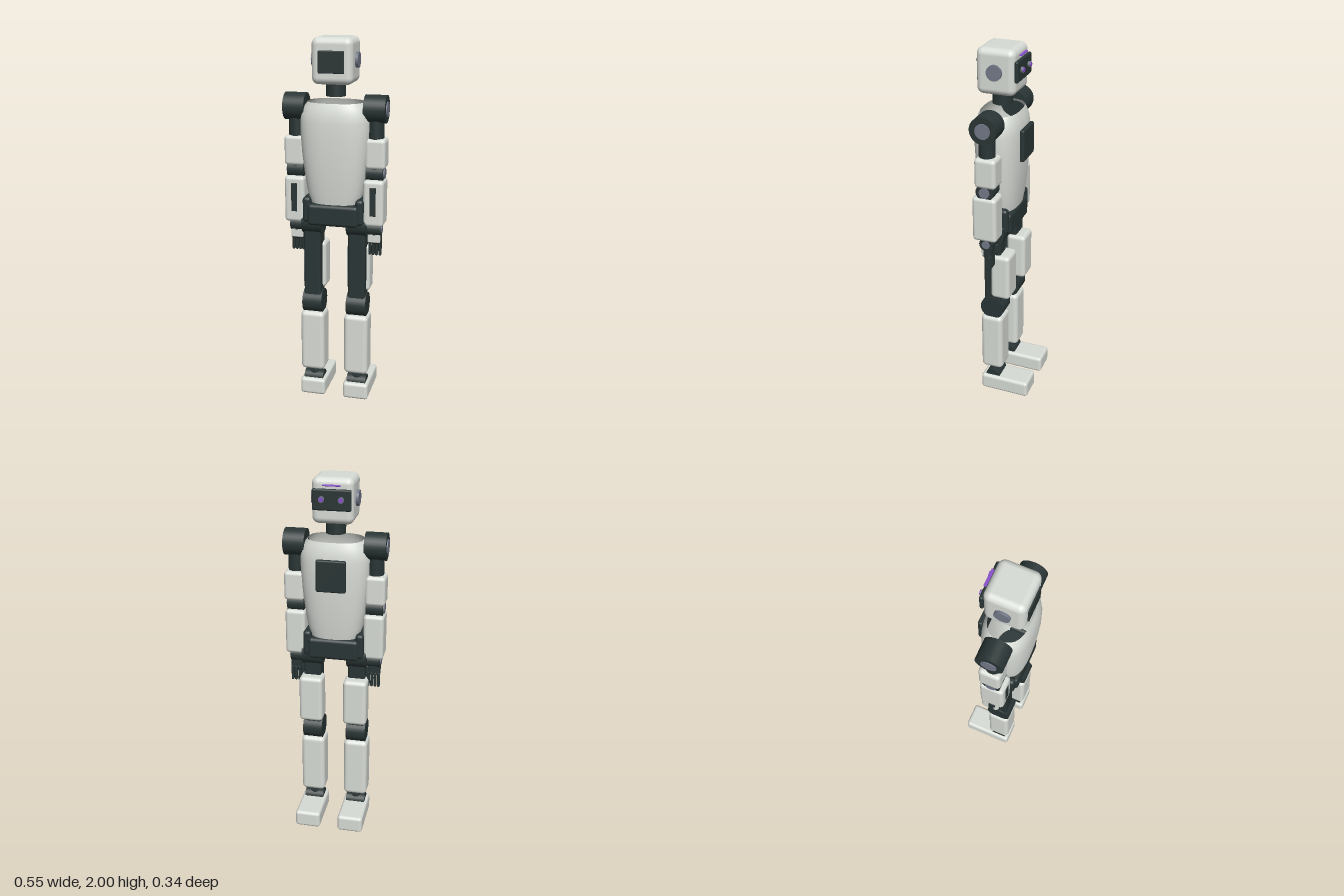
import * as THREE from 'three';
import { RoundedBoxGeometry } from 'three/addons/geometries/RoundedBoxGeometry.js';

const mat = (name, color, side = THREE.FrontSide) => {
  const m = new THREE.MeshStandardMaterial({ color, side });
  m.name = name;
  return m;
};

// Superellipse tube through rings of [y, half width, half depth], open at the top
function shellGeometry(rings, power, segments) {
  const pos = [], index = [];
  const sp = (v) => Math.sign(v) * Math.abs(v) ** (2 / power);
  for (const [y, rx, rz] of rings) {
    for (let i = 0; i < segments; i++) {
      const a = (i / segments) * Math.PI * 2;
      pos.push(rx * sp(Math.sin(a)), y, rz * sp(Math.cos(a)));
    }
  }
  for (let r = 0; r < rings.length - 1; r++) {
    for (let i = 0; i < segments; i++) {
      const j = (i + 1) % segments;
      const a = r * segments + i, b = r * segments + j, c = a + segments, d = b + segments;
      index.push(a, b, d, a, d, c);
    }
  }
  const g = new THREE.BufferGeometry();
  g.setAttribute('position', new THREE.Float32BufferAttribute(pos, 3));
  g.setIndex(index);
  g.computeVertexNormals();
  return g;
}

export function createModel() {
  const model = new THREE.Group();
  model.name = 'humanoidRobot';
  const white = mat('shellWhite', 0xd8dcd6, THREE.DoubleSide);
  const dark = mat('jointDark', 0x2a3535);
  const gray = mat('discGray', 0x737988);
  const purple = mat('sensorPurple', 0x8a4fd0);
  const Z = 0.045; // body centre line

  const add = (parent, name, geometry, material, x, y, z) => {
    const m = new THREE.Mesh(geometry, material);
    m.name = name;
    m.position.set(x, y, z);
    parent.add(m);
    return m;
  };
  // Rounded box given by size and centre
  const box = (p, name, material, [w, h, d], [x, y, z], r = 0.02) =>
    add(p, name, new RoundedBoxGeometry(w, h, d, 4, Math.min(r, w / 2.01, h / 2.01, d / 2.01)), material, x, y, z);
  // Cylinder along x, y or z
  const rod = (p, name, material, axis, radius, length, [x, y, z]) => {
    const g = new THREE.CylinderGeometry(radius, radius, length, 32);
    if (axis === 'x') g.rotateZ(-Math.PI / 2);
    if (axis === 'z') g.rotateX(Math.PI / 2);
    return add(p, name, g, material, x, y, z);
  };

  // Head with face towards -z and a screen on the opposite side
  const head = new THREE.Group();
  head.name = 'head';
  model.add(head);
  box(head, 'skull', white, [0.215, 0.235, 0.205], [0, 1.8825, Z], 0.035);
  box(head, 'headScreen', dark, [0.135, 0.112, 0.012], [0, 1.88, 0.149], 0.004);
  box(head, 'visor', dark, [0.2, 0.108, 0.02], [0, 1.893, -0.064], 0.009);
  box(head, 'sensorStrip', purple, [0.09, 0.007, 0.014], [0, 1.965, -0.067], 0.002);
  for (const s of [-1, 1]) {
    rod(head, 'earDisc', gray, 'x', 0.04, 0.03, [s * 0.107, 1.885, Z]);
    rod(head, 'eyeRing', gray, 'z', 0.015, 0.014, [s * 0.05, 1.897, -0.078]);
    rod(head, 'eye', purple, 'z', 0.011, 0.006, [s * 0.05, 1.897, -0.087]);
  }
  rod(model, 'neck', dark, 'y', 0.052, 0.08, [0, 1.74, Z]);

  // Torso shell, open at the neck, dark floor inside
  const torso = new THREE.Group();
  torso.name = 'torso';
  model.add(torso);
  const rings = [
    [1.14, 0.132, 0.096], [1.2, 0.15, 0.105], [1.3, 0.165, 0.115], [1.4, 0.177, 0.122],
    [1.5, 0.184, 0.125], [1.57, 0.185, 0.124], [1.61, 0.181, 0.12], [1.645, 0.166, 0.111], [1.672, 0.146, 0.1],
  ];
  add(torso, 'torsoShell', shellGeometry(rings, 2.6, 64), white, 0, 0, Z);
  const floor = shellGeometry([[1.15, 0.133, 0.096], [1.15, 0.001, 0.001]], 2.6, 64);
  add(torso, 'torsoFloor', floor, dark, 0, 0, Z);
  box(torso, 'chestScreen', dark, [0.156, 0.17, 0.025], [0, 1.505, -0.088], 0.008);

  // Pelvis
  const pelvis = new THREE.Group();
  pelvis.name = 'pelvis';
  model.add(pelvis);
  box(pelvis, 'pelvisBlock', dark, [0.275, 0.118, 0.19], [0, 1.077, Z], 0.02);
  for (const s of [-1, 1]) box(pelvis, 'pelvisSide', dark, [0.045, 0.14, 0.17], [s * 0.143, 1.1, Z], 0.018);

  for (const s of [-1, 1]) {
    const side = s > 0 ? 'left' : 'right';

    // Arm
    const arm = new THREE.Group();
    arm.name = side + 'Arm';
    model.add(arm);
    const ax = s * 0.213;
    rod(arm, 'shoulder', dark, 'x', 0.072, 0.113, [ax, 1.64, Z]);
    rod(arm, 'shoulderDisc', gray, 'x', 0.04, 0.01, [s * 0.27, 1.64, Z]);
    rod(arm, 'upperArmCore', dark, 'y', 0.042, 0.3, [ax, 1.45, Z]);
    box(arm, 'upperArmShell', white, [0.108, 0.16, 0.115], [ax + s * 0.004, 1.41, 0.04], 0.02);
    rod(arm, 'elbow', dark, 'x', 0.048, 0.09, [ax, 1.305, Z]);
    rod(arm, 'elbowDisc', gray, 'x', 0.028, 0.01, [s * 0.26, 1.305, Z]);
    box(arm, 'forearmShell', white, [0.11, 0.25, 0.132], [ax, 1.15, 0.048], 0.02);
    box(arm, 'forearmSlot', dark, [0.032, 0.155, 0.008], [ax, 1.163, 0.113], 0.002);
    rod(arm, 'wristStem', dark, 'y', 0.028, 0.08, [ax, 1.01, Z]);
    rod(arm, 'wrist', dark, 'x', 0.038, 0.07, [ax, 1.0, Z]);
    rod(arm, 'wristDisc', gray, 'x', 0.022, 0.008, [s * 0.25, 1.0, Z]);
    box(arm, 'palm', dark, [0.072, 0.075, 0.04], [ax, 0.953, 0.042], 0.01);
    box(arm, 'handPlate', white, [0.068, 0.058, 0.014], [ax, 0.955, 0.065], 0.006);
    for (let i = 0; i < 4; i++) {
      box(arm, 'finger', dark, [0.014, 0.085, 0.025], [ax + (i - 1.5) * 0.019, 0.89, 0.033], 0.005);
    }
    box(arm, 'thumb', dark, [0.016, 0.06, 0.02], [ax - s * 0.035, 0.945, 0.015], 0.006);

    // Leg
    const leg = new THREE.Group();
    leg.name = side + 'Leg';
    model.add(leg);
    const lx = s * 0.123;
    rod(leg, 'hip', dark, 'x', 0.072, 0.108, [lx, 1.025, Z]);
    box(leg, 'thighCore', dark, [0.094, 0.4, 0.095], [lx, 0.8, Z], 0.012);
    box(leg, 'thighShell', white, [0.13, 0.265, 0.108], [lx, 0.768, -0.005], 0.022);
    rod(leg, 'knee', dark, 'x', 0.067, 0.108, [lx, 0.56, Z]);
    box(leg, 'shinShell', white, [0.134, 0.35, 0.125], [lx, 0.33, 0.047], 0.025);
    rod(leg, 'ankleStem', dark, 'y', 0.03, 0.08, [lx, 0.09, Z]);
    rod(leg, 'ankle', dark, 'x', 0.042, 0.108, [lx, 0.088, Z]);
    box(leg, 'foot', white, [0.143, 0.095, 0.28], [lx, 0.0475, -0.03], 0.018);
  }
  return model;
}
